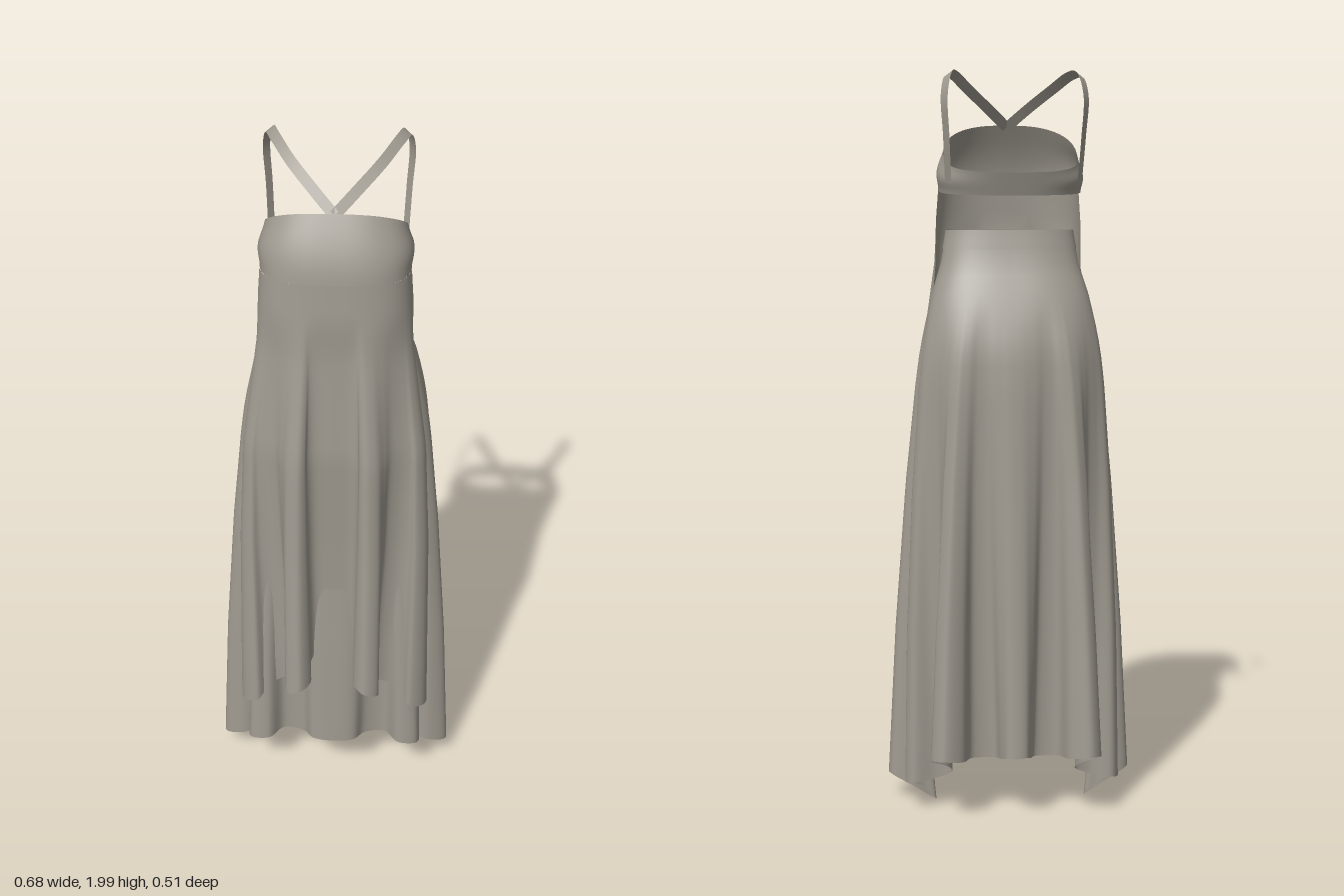
import * as THREE from 'three';

const cloth = new THREE.MeshStandardMaterial({ color: 0x9f9a90, side: THREE.DoubleSide });
cloth.name = 'warm grey cloth';

// Smooth grid surface from a rule point(column, row); closed grids wrap round
function surface(name, cols, rows, closed, point) {
  const pos = [], index = [];
  for (let r = 0; r <= rows; r++)
    for (let c = 0; c < cols; c++) pos.push(...point(c, r / rows));
  for (let r = 0; r < rows; r++)
    for (let c = 0; c < (closed ? cols : cols - 1); c++) {
      const n = (c + 1) % cols;
      const a = r * cols + c, b = r * cols + n, d = a + cols, e = b + cols;
      index.push(a, d, b, b, d, e);
    }
  const geo = new THREE.BufferGeometry();
  geo.setAttribute('position', new THREE.Float32BufferAttribute(pos, 3));
  geo.setIndex(index);
  geo.computeVertexNormals();
  const mesh = new THREE.Mesh(geo, cloth);
  mesh.name = name;
  return mesh;
}

// Rounded-box outline, angle 0 faces the front
const POW = 0.75;
const shaped = (v, p = POW) => Math.sign(v) * Math.abs(v) ** p;
function outline(angle, [halfX, front, back]) {
  return [
    halfX * shaped(Math.sin(angle)),
    (front + back) / 2 + ((front - back) / 2) * shaped(Math.cos(angle)),
  ];
}

// Envelope rows are [y, half width, front z, back z], top to bottom
function envelopeAt(rows, y) {
  let i = 0;
  while (i < rows.length - 2 && y < rows[i + 1][0]) i++;
  const a = rows[i], b = rows[i + 1];
  const t = THREE.MathUtils.clamp((a[0] - y) / (a[0] - b[0]), 0, 1);
  return [1, 2, 3].map((k) => a[k] + (b[k] - a[k]) * t);
}

// Hanging cloth: follows the envelope above and gathers into the hem folds below
function drape(name, half, envelope, topY, foldStart, foldPower, closed) {
  const mirror = half.slice(1, closed ? -1 : undefined).map(([x, y, z]) => [-x, y, z]).reverse();
  const pts = (closed ? [...half, ...mirror] : [...mirror, ...half]).map((p) => new THREE.Vector3(...p));
  const curve = new THREE.CatmullRomCurve3(pts, closed, 'centripetal');
  const segs = (closed ? pts.length : pts.length - 1) * 6;
  const cols = closed ? segs : segs + 1;
  const hem = [], drift = [];
  const even = (c) => (closed ? (c / segs) * 2 * Math.PI : (c / segs - 0.5) * 2.6);
  for (let c = 0; c < cols; c++) {
    const h = curve.getPoint(c / segs);
    const [w, f, b] = envelopeAt(envelope, h.y);
    const a = Math.atan2(
      shaped(h.x / w, 1 / POW),
      shaped((h.z - (f + b) / 2) / ((f - b) / 2), 1 / POW));
    const d = a - even(c);
    hem.push(h);
    drift.push(Math.atan2(Math.sin(d), Math.cos(d)));
  }
  // Even out the angles so the cloth above the folds lies flat
  const angles = hem.map((_, c) => {
    let sum = 0;
    for (let k = -12; k <= 12; k++)
      sum += drift[closed ? (c + k + cols) % cols : THREE.MathUtils.clamp(c + k, 0, cols - 1)];
    return even(c) + sum / 25;
  });
  return surface(name, cols, 36, closed, (c, v) => {
    const h = hem[c], a = angles[c], y0 = topY(a);
    const y = y0 + (h.y - y0) * v;
    const [bx, bz] = outline(a, envelopeAt(envelope, y));
    const [hx, hz] = outline(a, envelopeAt(envelope, h.y));
    const s = Math.max(0, (foldStart - y) / (foldStart - h.y)) ** foldPower;
    return [bx + (h.x - hx) * s, y, bz + (h.z - hz) * s];
  });
}

const skirtEnvelope = [
  [1.585, 0.17, 0.08, -0.09], [1.5, 0.185, 0.085, -0.108], [1.42, 0.21, 0.09, -0.142],
  [1.34, 0.23, 0.1, -0.17], [1.27, 0.245, 0.105, -0.186], [1.18, 0.258, 0.11, -0.194],
  [0.9, 0.287, 0.13, -0.207], [0.5, 0.317, 0.15, -0.228], [0.05, 0.34, 0.168, -0.255],
];
// Hem points run from front centre round the left side to back centre
const skirtHem = [
  [0, 0.18, 0.16], [0.06, 0.18, 0.15], [0.09, 0.17, 0.11], [0.15, 0.17, 0.1], [0.19, 0.17, 0.145],
  [0.245, 0.16, 0.135], [0.25, 0.14, 0.08], [0.19, 0.13, 0.06], [0.21, 0.12, 0.045],
  [0.28, 0.1, 0.058], [0.335, 0.08, 0.03], [0.33, 0.08, -0.015], [0.27, 0.05, -0.035],
  [0.21, 0.01, -0.03], [0.21, 0.02, -0.05], [0.25, 0.06, -0.058], [0.295, 0.08, -0.085],
  [0.275, 0.09, -0.125], [0.21, 0.1, -0.115], [0.17, 0.12, -0.13], [0.18, 0.15, -0.175],
  [0.23, 0.18, -0.215], [0.2, 0.19, -0.255], [0.145, 0.18, -0.23], [0.115, 0.17, -0.165],
  [0.055, 0.17, -0.165], [0.04, 0.18, -0.21], [0.025, 0.19, -0.24], [0, 0.19, -0.247],
];

const panelEnvelope = [
  [1.7, 0.19, 0.135, -0.14], [1.5, 0.205, 0.152, -0.14], [1.2, 0.25, 0.2, -0.16],
  [0.9, 0.268, 0.217, -0.17], [0.46, 0.28, 0.25, -0.19], [0.27, 0.285, 0.258, -0.2],
];
const panelHem = [
  [0, 0.5, 0.13], [0.05, 0.5, 0.135], [0.065, 0.49, 0.17], [0.06, 0.47, 0.22], [0.09, 0.46, 0.255],
  [0.13, 0.44, 0.235], [0.125, 0.42, 0.18], [0.115, 0.41, 0.14], [0.15, 0.39, 0.12],
  [0.19, 0.36, 0.125], [0.22, 0.33, 0.155], [0.26, 0.31, 0.13], [0.27, 0.3, 0.09],
  [0.23, 0.28, 0.07], [0.2, 0.27, 0.06],
];

const bandBottom = (a) => 1.69 + 0.012 * shaped(Math.cos(a));

// Chest band: high at the front, sloping to a narrow strip across the back
function chestBand() {
  const cols = 96;
  return surface('chestBand', cols, 10, true, (c, v) => {
    const a = (c / cols) * 2 * Math.PI, k = shaped(Math.cos(a));
    const top = 1.785 + 0.065 * k + 0.017 * k * k;
    // Eases into the slope of the panel below
    const s = 0.24 * v + 0.76 * Math.sin((v * Math.PI) / 2);
    const [x, z] = outline(a, [
      0.178 + 0.012 * s + 0.009 * Math.sin(v * Math.PI) ** 2,
      0.075 + 0.06 * s,
      -0.16 + 0.02 * v,
    ]);
    return [x, top + (bandBottom(a) - top) * v, z];
  });
}

// Narrow band finishing the waist of the skirt
function waistband() {
  const cols = 72;
  return surface('waistband', cols, 3, true, (c, v) => {
    const y = 1.588 - 0.05 * v;
    const [w, f, b] = envelopeAt(skirtEnvelope, y);
    const [x, z] = outline((c / cols) * 2 * Math.PI, [w + 0.002, f + 0.002, b - 0.002]);
    return [x, y, z];
  });
}

// Flat ribbon from the centre front over the shoulder to the back band
function strap(side) {
  const curve = new THREE.CatmullRomCurve3([
    [0, 1.862, 0.073], [0.055, 1.91, 0.03], [0.113, 1.957, -0.028], [0.153, 1.988, -0.09],
    [0.172, 1.985, -0.143], [0.183, 1.93, -0.172], [0.178, 1.83, -0.167], [0.172, 1.71, -0.137],
  ].map(([x, y, z]) => new THREE.Vector3(x * side, y, z)));
  const neck = new THREE.Vector3(0, 1.82, -0.05);
  return surface(side > 0 ? 'leftStrap' : 'rightStrap', 2, 40, false, (c, v) => {
    const p = curve.getPoint(v);
    const across = curve.getTangent(v).cross(p.clone().sub(neck)).normalize();
    return p.addScaledVector(across, c ? -0.014 : 0.014).toArray();
  });
}

export function createModel() {
  const dress = new THREE.Group();
  dress.name = 'dress';
  dress.add(
    drape('skirt', skirtHem, skirtEnvelope, () => 1.585, 1.4, 1.1, true),
    drape('frontPanel', panelHem, panelEnvelope, bandBottom, 1.6, 0.95, false),
    chestBand(),
    waistband(),
    strap(1),
    strap(-1),
  );
  return dress;
}
